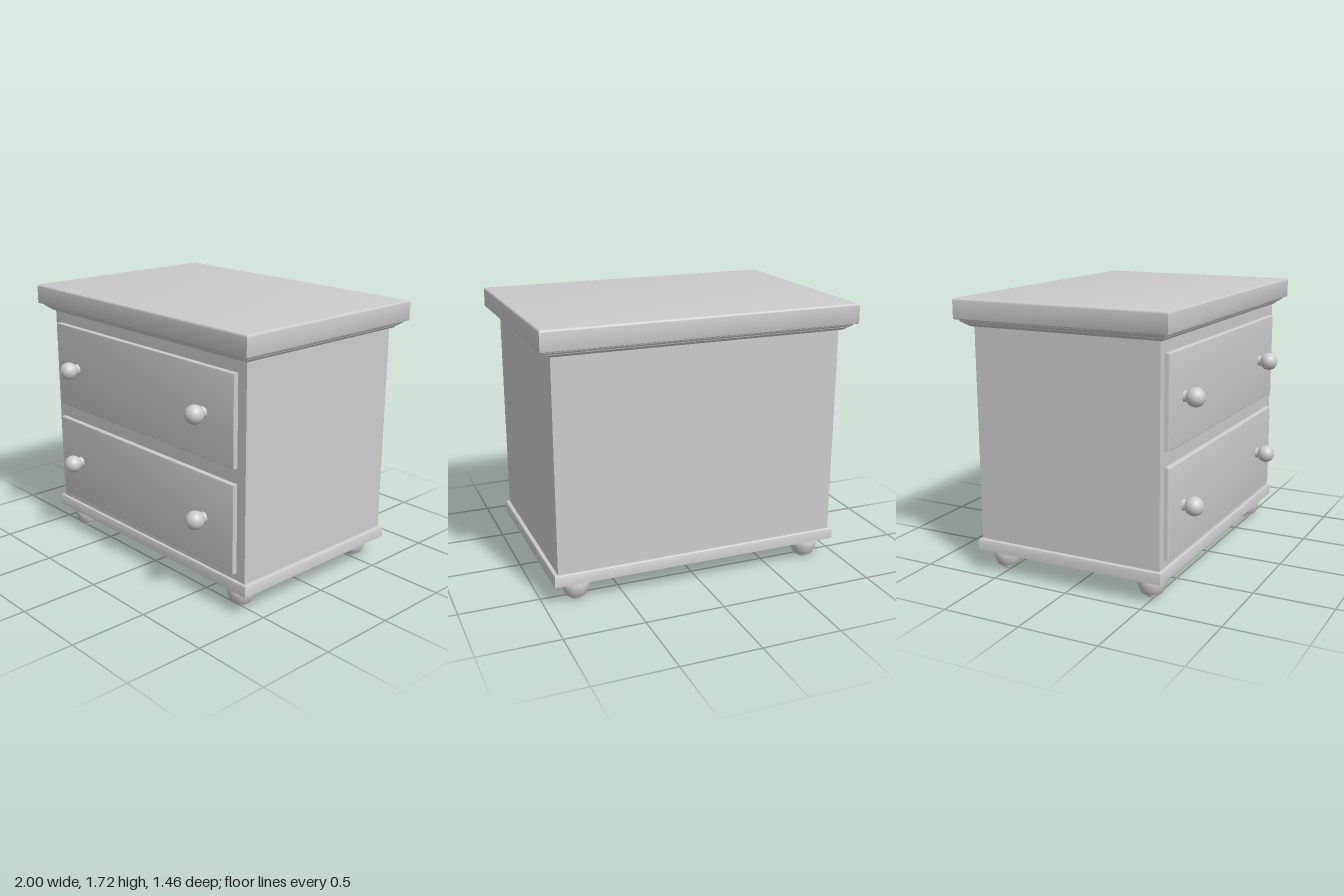
import * as THREE from 'three';
import { toCreasedNormals } from 'three/addons/utils/BufferGeometryUtils.js';

const material = new THREE.MeshStandardMaterial({ color: 0xcccccc });

function addMesh(parent, name, geometry, x = 0, y = 0, z = 0) {
  const mesh = new THREE.Mesh(geometry, material);
  mesh.name = name;
  mesh.position.set(x, y, z);
  parent.add(mesh);
  return mesh;
}

// Closed rectangular solid with an edge profile: [inset, height] from bottom to top
function profiledSlab(width, depth, profile) {
  const positions = [];
  const rings = profile.map(([inset, y]) => {
    const hx = width / 2 - inset, hz = depth / 2 - inset;
    return [[hx, y, hz], [hx, y, -hz], [-hx, y, -hz], [-hx, y, hz]];
  });
  const quad = (a, b, c, d) => positions.push(...a, ...b, ...c, ...a, ...c, ...d);
  for (let i = 0; i < rings.length - 1; i++) {
    const lower = rings[i], upper = rings[i + 1];
    for (let k = 0; k < 4; k++) {
      const n = (k + 1) % 4;
      quad(lower[k], lower[n], upper[n], upper[k]);
    }
  }
  quad(...rings[rings.length - 1]);
  quad(...[...rings[0]].reverse());
  const geometry = new THREE.BufferGeometry();
  geometry.setAttribute('position', new THREE.Float32BufferAttribute(positions, 3));
  geometry.computeVertexNormals();
  return toCreasedNormals(geometry, 0.6);
}

// Quarter-round edge running from the side face onto the top face
function roundedTop(radius, height, steps = 4) {
  return Array.from({ length: steps + 1 }, (_, i) => {
    const a = (i / steps) * Math.PI / 2;
    return [radius * (1 - Math.cos(a)), height - radius * (1 - Math.sin(a))];
  });
}

function lathe(points, segments = 40) {
  const geometry = new THREE.LatheGeometry(points.map(([r, y]) => new THREE.Vector2(r, y)), segments);
  return toCreasedNormals(geometry, 0.7);
}

export function createModel() {
  const group = new THREE.Group();

  // Carcass and plinth
  addMesh(group, 'body', new THREE.BoxGeometry(1.835, 1.35, 1.22), 0.002, 0.875, -0.03);
  addMesh(group, 'plinth', profiledSlab(1.885, 1.255,
    [[0, 0], ...roundedTop(0.01, 0.072)]), 0.002, 0.14, -0.03);

  // Stepped, coved moulding under the top
  addMesh(group, 'moulding', profiledSlab(1.965, 1.355, [
    [0.048, 0], [0.044, 0.006], [0.036, 0.012], [0.026, 0.017], [0.024, 0.023],
    [0.018, 0.025], [0.011, 0.03], [0.007, 0.037], [0.006, 0.042], [0, 0.042], [0, 0.05],
  ]), 0, 1.545, -0.034);

  // Overhanging top
  addMesh(group, 'top', profiledSlab(2, 1.392,
    [[0.008, 0], [0.002, 0.003], [0, 0.008], ...roundedTop(0.014, 0.127)]), 0, 1.588, -0.034);

  // Drawers with a pair of knobs each
  const knobProfile = [[0.036, 0], [0.034, 0.01], [0.033, 0.03]];
  [['lowerDrawer', 0.5375, 0.54], ['upperDrawer', 1.19, 1.19]].forEach(([name, y, knobY]) => {
    const drawer = new THREE.Group();
    drawer.name = name;
    group.add(drawer);
    const front = addMesh(drawer, 'drawerFront', profiledSlab(1.712, 0.557,
      [[0, 0], ...roundedTop(0.006, 0.04, 3)]), -0.004, y, 0.57);
    front.rotation.x = Math.PI / 2;
    for (const x of [-0.651, 0.597]) {
      const stem = addMesh(drawer, 'knobStem', lathe([...knobProfile, [0.033, 0.05]]), x, knobY, 0.605);
      stem.rotation.x = Math.PI / 2;
      const knob = addMesh(drawer, 'knob', new THREE.SphereGeometry(0.058, 32, 24), x, knobY, 0.677);
      knob.rotation.x = Math.PI / 2;
    }
  });

  // Turned bun feet, each on a small pad
  const bun = new THREE.SplineCurve([
    [0.064, 0.025], [0.077, 0.05], [0.085, 0.08], [0.086, 0.1], [0.081, 0.125], [0.07, 0.145],
  ].map(([r, y]) => new THREE.Vector2(r, y))).getPoints(16).map((p) => [p.x, p.y]);
  const footGeometry = lathe([
    [0, 0], [0.033, 0], [0.036, 0.004], [0.036, 0.018], [0.034, 0.025], ...bun, [0, 0.145],
  ]);
  for (const x of [-0.794, 0.785]) {
    for (const z of [0.475, -0.541]) addMesh(group, 'foot', footGeometry, x, 0, z);
  }

  return group;
}
